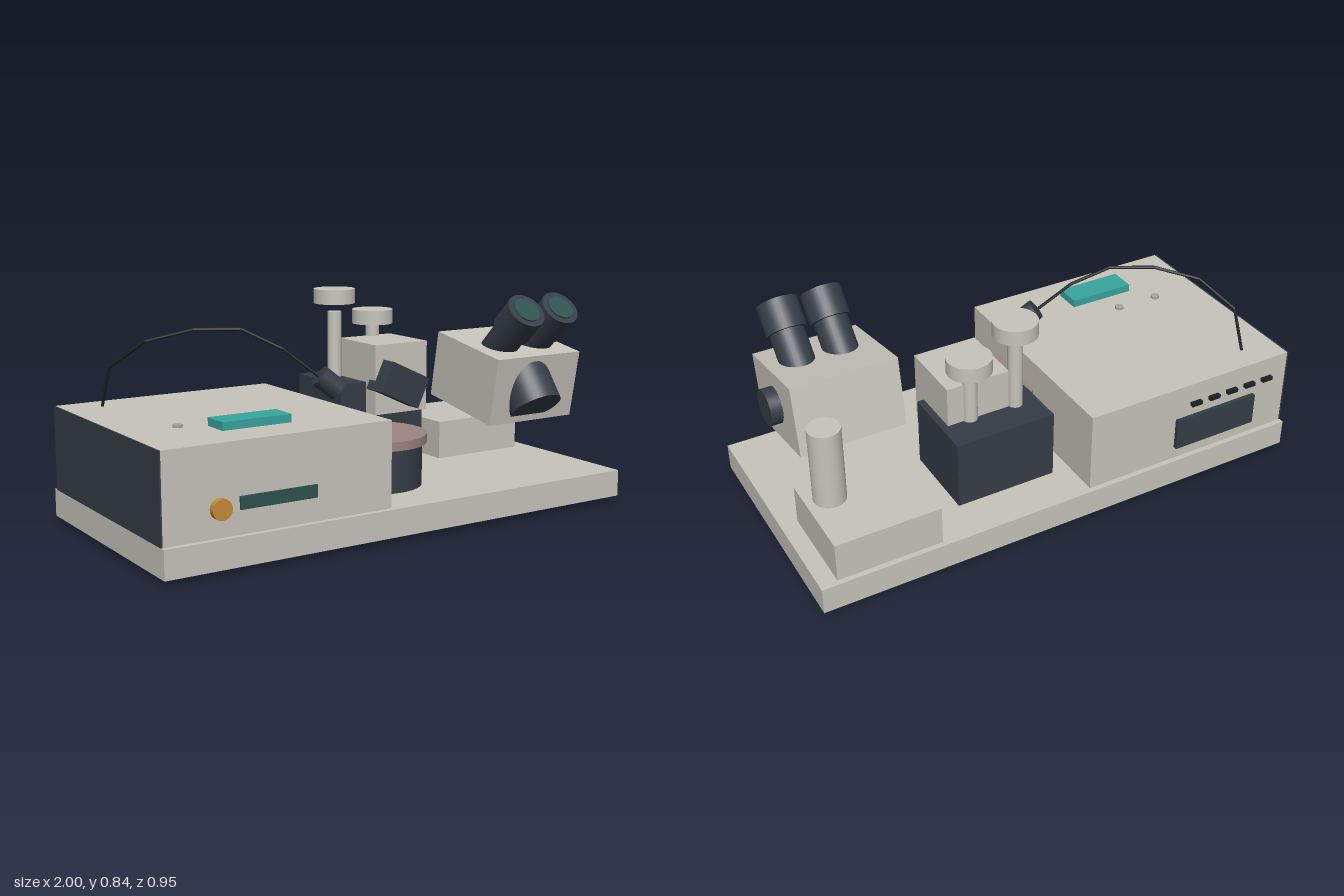
import * as THREE from 'three';

const paint = (name, color) => {
  const m = new THREE.MeshStandardMaterial({ color });
  m.name = name;
  return m;
};

export function createModel() {
  const model = new THREE.Group();
  model.name = 'microscopeStation';

  const shell = paint('warmGrey', 0xc6c4ba);
  const button = paint('midGrey', 0xa9a8a0);
  const dark = paint('charcoal', 0x363d47);
  const black = paint('cableBlack', 0x1d2023);
  const mauve = paint('mauve', 0x9b8582);
  const teal = paint('teal', 0x38a49f);
  const glass = paint('darkGreen', 0x2e524e);
  const amber = paint('amber', 0xc58a38);

  const add = (name, geometry, material, parent = model) => {
    const mesh = new THREE.Mesh(geometry, material);
    mesh.name = name;
    parent.add(mesh);
    return mesh;
  };
  // Box given by its [min, max] along each axis
  const box = (name, material, [x0, x1], [y0, y1], [z0, z1]) => {
    const mesh = add(name, new THREE.BoxGeometry(x1 - x0, y1 - y0, z1 - z0), material);
    mesh.position.set((x0 + x1) / 2, (y0 + y1) / 2, (z0 + z1) / 2);
    return mesh;
  };
  // Cylinder running between two points
  const rod = (name, material, from, to, radius, sides = 32) => {
    const a = new THREE.Vector3(...from);
    const b = new THREE.Vector3(...to);
    const mesh = add(name, new THREE.CylinderGeometry(radius, radius, a.distanceTo(b), sides), material);
    mesh.position.copy(a).lerp(b, 0.5);
    mesh.quaternion.setFromUnitVectors(new THREE.Vector3(0, 1, 0), b.sub(a).normalize());
    return mesh;
  };

  // Base plate and feet
  box('basePlate', shell, [-1, 1], [0.025, 0.13], [-0.473, 0.473]);
  for (const x of [-0.835, 0.835])
    for (const z of [-0.339, 0.339]) rod('foot', dark, [x, 0, z], [x, 0.025, z], 0.045, 24);

  // Control cabinet with dark side panel
  box('cabinet', shell, [-0.994, -0.095], [0.13, 0.452], [-0.452, 0.452]);
  box('cabinetSidePanel', dark, [-1, -0.994], [0.13, 0.452], [-0.452, 0.452]);
  box('frontDisplay', glass, [-0.71, -0.41], [0.217, 0.263], [0.452, 0.461]);
  rod('frontKnob', amber, [-0.785, 0.231, 0.45], [-0.785, 0.231, 0.475], 0.037, 24);
  box('topDisplay', teal, [-0.71, -0.44], [0.463, 0.493], [0.232, 0.338]);
  for (const x of [-0.785, -0.608]) rod('topButton', button, [x, 0.45, 0.15], [x, 0.463, 0.15], 0.017, 20);
  box('rearPanel', dark, [-0.84, -0.475], [0.183, 0.312], [-0.469, -0.452]);
  for (let i = 0; i < 5; i++) {
    const x = -0.897 + i * 0.084;
    box('rearSocket', black, [x - 0.023, x + 0.023], [0.357, 0.372], [-0.469, -0.452]);
  }

  // Gooseneck lamp
  const neck = [
    [-0.85, 0.45, -0.35], [-0.845, 0.607, -0.288], [-0.75, 0.71, -0.17], [-0.605, 0.753, -0.072],
    [-0.455, 0.753, 0.012], [-0.325, 0.68, 0.083], [-0.19, 0.565, 0.137],
  ];
  for (let i = 1; i < neck.length; i++) {
    rod('lampNeck', black, neck[i - 1], neck[i], 0.006, 8);
    const joint = add('lampNeckJoint', new THREE.SphereGeometry(0.006, 8, 6), black);
    joint.position.set(...neck[i]);
  }
  rod('lampHead', dark, [-0.2, 0.577, 0.136], [-0.133, 0.519, 0.16], 0.042, 20);

  // Round sample stage
  rod('stageDrum', dark, [0.062, 0.13, 0.105], [0.062, 0.295, 0.105], 0.187, 48);
  rod('stageDisc', mauve, [0.062, 0.295, 0.105], [0.062, 0.33, 0.105], 0.205, 48);

  // Manipulator block, carriage and tilted holder
  box('manipulatorBlock', dark, [0.04, 0.432], [0.222, 0.487], [-0.402, -0.087]);
  box('carriage', shell, [0.157, 0.405], [0.363, 0.641], [-0.278, -0.02]);
  const holder = box('tiltedHolder', dark, [0.159, 0.349], [0.42, 0.548], [-0.06, 0.052]);
  holder.rotation.z = -0.436;

  // Adjustment knobs on stems
  for (const [x, stemTop, knobBottom] of [[0.128, 0.752, 0.786], [0.313, 0.692, 0.692]]) {
    rod('knobStem', shell, [x, 0.48, -0.273], [x, stemTop, -0.273], 0.028, 24);
    rod('adjustKnob', shell, [x, knobBottom, -0.273], [x, knobBottom + 0.058, -0.273], 0.083);
  }

  // Pedestal and post
  box('pedestal', shell, [0.525, 0.933], [0.13, 0.284], [-0.452, -0.087]);
  rod('post', shell, [0.842, 0.284, -0.202], [0.842, 0.59, -0.202], 0.061);

  // Tilted viewing head
  const head = box('viewingHead', shell, [0.48, 0.895], [0.37, 0.638], [-0.069, 0.318]);
  head.rotation.x = 0.176;
  rod('focusDial', dark, [0.88, 0.508, 0.12], [0.94, 0.508, 0.12], 0.07);
  rod('objective', dark, [0.67, 0.518, 0.252], [0.67, 0.398, 0.342], 0.105, 40);

  // Twin eyepieces, measured along a 45 degree axis from the rim
  for (const x of [0.607, 0.778]) {
    const at = (d) => [x, 0.785 - d * Math.SQRT1_2, 0.346 - d * Math.SQRT1_2];
    rod('eyeTube', dark, at(0.11), at(0.3), 0.066);
    rod('eyeCup', dark, at(0), at(0.118), 0.078);
    rod('eyeLens', glass, at(-0.006), at(0.002), 0.054);
  }

  return model;
}
